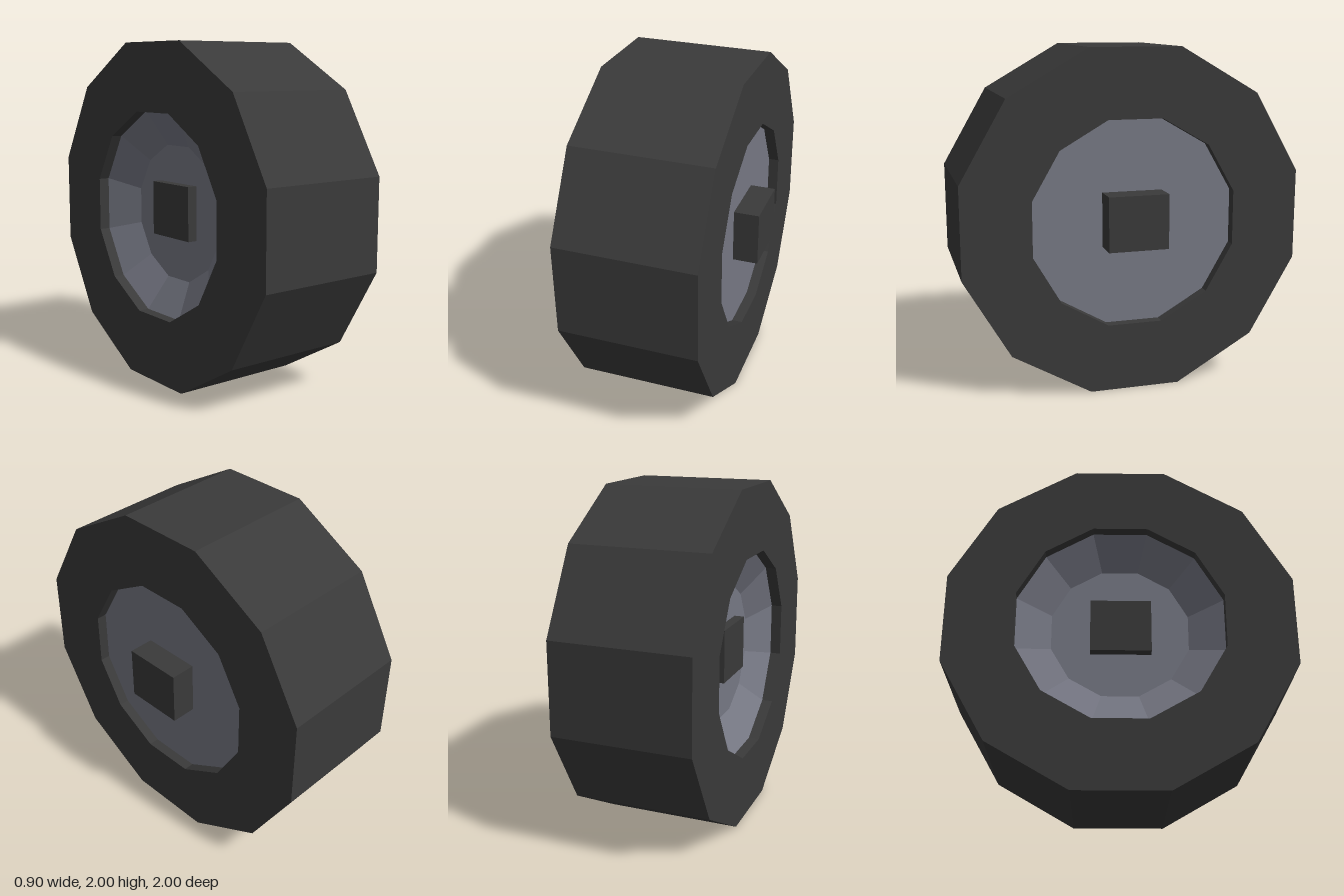
import * as THREE from 'three';

const SIDES = 12;

// Twelve-sided flat-faced solid around the x axis; profile holds [apothem, x] pairs
function facetedLathe(profile) {
  const k = 1 / Math.cos(Math.PI / SIDES);
  const points = profile.map(([r, x]) => new THREE.Vector2(r * k, x));
  const geometry = new THREE.LatheGeometry(points, SIDES, Math.PI / SIDES, Math.PI * 2)
    .rotateZ(-Math.PI / 2)
    .toNonIndexed();
  geometry.computeVertexNormals();
  return geometry;
}

export function createModel() {
  const group = new THREE.Group();
  group.name = 'wheel';

  const rubber = new THREE.MeshStandardMaterial({ color: 0x3a3a3a });
  rubber.name = 'darkRubber';
  const metal = new THREE.MeshStandardMaterial({ color: 0x777985 });
  metal.name = 'greyMetal';

  const add = (name, geometry, material, y = 1) => {
    const mesh = new THREE.Mesh(geometry, material);
    mesh.name = name;
    mesh.position.y = y;
    group.add(mesh);
    return mesh;
  };

  // Thick ring with a straight bore
  add('tyre', facetedLathe([
    [0.6, -0.45], [1, -0.45], [1, 0.362], [0.6, 0.362], [0.6, -0.45],
  ]), rubber);

  // Rim: dished on one side, flat and slightly recessed on the other
  add('rim', facetedLathe([
    [0, -0.27], [0.4, -0.27], [0.6, -0.385], [0.6, 0.3], [0, 0.3],
  ]), metal);

  // Square axle passing through the rim
  const axle = add('axle', new THREE.BoxGeometry(0.78, 0.32, 0.355), rubber, 1.02);
  axle.position.x = 0.06;
  axle.position.z = 0.004;

  return group;
}
